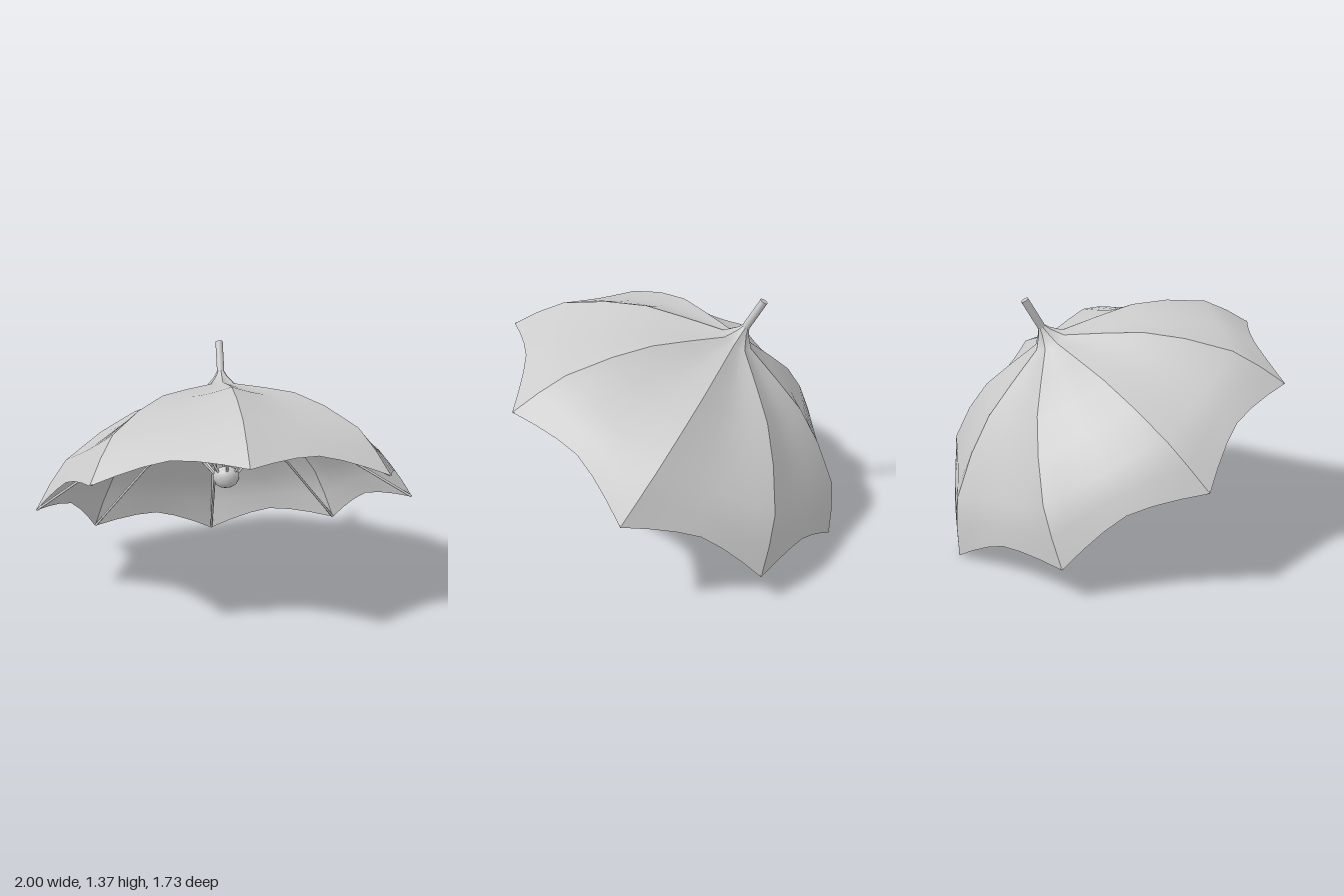
import * as THREE from 'three';

const SIDES = 8;
const STEP = (Math.PI * 2) / SIDES;

// Point at radius r and height t on the umbrella's own axis
const polar = (r, t, a) => new THREE.Vector3(Math.cos(a) * r, t, Math.sin(a) * r);

// Canopy rows from hem to collar: seam radius, seam height,
// then how far the cloth rises (or sags) and draws in midway between seams
const ROWS = [
  [1.06, 0, 0.088, 0.03], [0.98, 0.145, 0.03, 0.012], [0.888, 0.278, -0.008, 0.004],
  [0.69, 0.432, -0.026, 0], [0.5, 0.542, -0.026, 0], [0.3, 0.61, -0.018, 0],
  [0.09, 0.675, -0.004, 0], [0.037, 0.735, 0, 0], [0.021, 0.765, 0, 0],
];
const COLUMNS = 6;

// One cloth panel between two seams, smooth inside and creased at the seams
function panelGeometry(a0) {
  const pos = [], index = [], n = COLUMNS + 1;
  ROWS.forEach(([r, t, rise, draw], i) => {
    const p = polar(r, t, a0), q = polar(r, t, a0 + STEP);
    for (let j = 0; j < n; j++) {
      const f = j / COLUMNS;
      const v = p.clone().lerp(q, f);
      const w = 1 - Math.abs(2 * f - 1) ** 1.5;
      const pull = 1 - draw * w;
      pos.push(v.x * pull, v.y + rise * w, v.z * pull);
    }
    if (i === 0) return;
    for (let j = 0; j < COLUMNS; j++) {
      const a = (i - 1) * n + j, c = i * n + j;
      index.push(a, c, a + 1, a + 1, c, c + 1);
    }
  });
  const g = new THREE.BufferGeometry();
  g.setAttribute('position', new THREE.Float32BufferAttribute(pos, 3));
  g.setIndex(index);
  g.computeVertexNormals();
  return g;
}

// Bent wire rib from the hub, over its knee and out to the hem
function ribGeometry(a) {
  const path = new THREE.CurvePath();
  const pts = [[0.05, 0.15], [0.225, 0.36], [0.255, 0.38], [0.31, 0.386], [0.6, 0.302], [1.055, 0.003]]
    .map(([r, t]) => polar(r, t, a));
  for (let i = 1; i < pts.length; i++) path.add(new THREE.LineCurve3(pts[i - 1], pts[i]));
  return new THREE.TubeGeometry(path, 40, 0.007, 6, false);
}

export function createModel() {
  const model = new THREE.Group();
  model.name = 'umbrella';
  const solid = new THREE.MeshStandardMaterial({ color: 0xcccccc });
  const cloth = new THREE.MeshStandardMaterial({ color: 0xcccccc, side: THREE.DoubleSide });

  const add = (parent, name, geometry, material = solid) => {
    const mesh = new THREE.Mesh(geometry, material);
    mesh.name = name;
    parent.add(mesh);
    return mesh;
  };

  // Canopy and ribs
  const canopy = new THREE.Group();
  canopy.name = 'canopy';
  const ribs = new THREE.Group();
  ribs.name = 'ribs';
  for (let k = 0; k < SIDES; k++) {
    add(canopy, 'canopyPanel', panelGeometry(k * STEP), cloth);
    add(ribs, 'rib', ribGeometry(k * STEP));
  }
  model.add(canopy, ribs);

  // Rounded hub that gathers the ribs
  const hub = [[0, 0.09], [0.03, 0.094], [0.055, 0.108], [0.074, 0.14], [0.074, 0.165],
    [0.06, 0.19], [0.035, 0.205], [0, 0.208]].map(([x, y]) => new THREE.Vector2(x, y));
  add(model, 'hub', new THREE.LatheGeometry(hub, 20));

  // Spike on top
  add(model, 'ferrule', new THREE.CylinderGeometry(0.021, 0.021, 0.22, 16)).position.y = 0.83;

  // Lean the whole umbrella backwards, resting on one rib tip
  const up = new THREE.Vector3(0.183, 0.854, -0.487).normalize();
  const side = new THREE.Vector3(0.94, -0.01, 0.34);
  side.addScaledVector(up, -side.dot(up)).normalize();
  const front = side.clone().cross(up);
  model.quaternion.setFromRotationMatrix(new THREE.Matrix4().makeBasis(side, up, front));
  model.position.set(0, 0.555, 0.009);

  const root = new THREE.Group();
  root.name = 'leaningUmbrella';
  root.add(model);
  return root;
}
